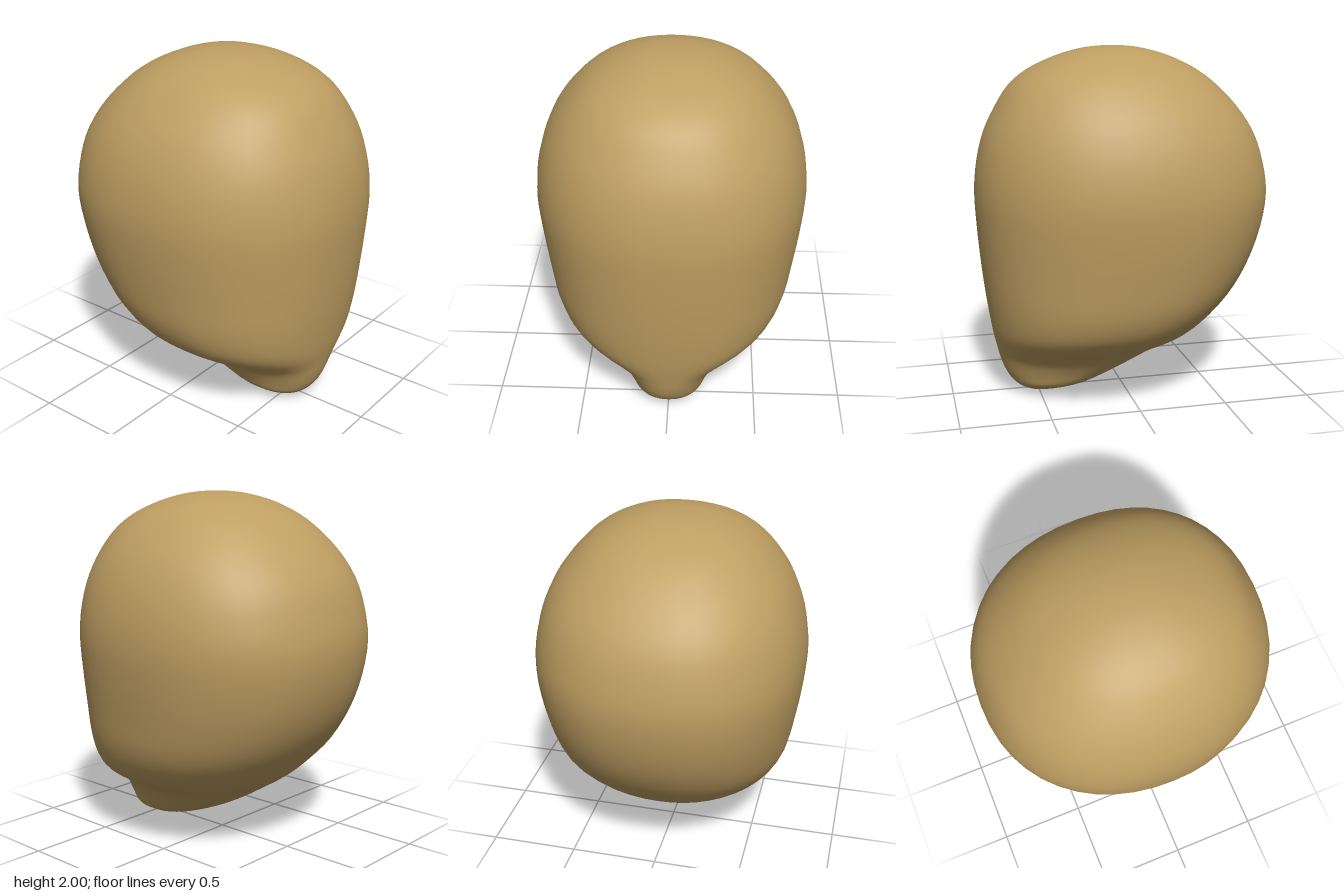
import * as THREE from 'three';

// Horizontal sections: [height, half width, front z, back z]
const SECTIONS = [
  [0, 0, 0.47, 0.47],
  [0.012, 0.075, 0.55, 0.38],
  [0.03, 0.13, 0.60, 0.29],
  [0.07, 0.20, 0.65, 0.16],
  [0.13, 0.235, 0.69, 0.01],
  [0.20, 0.28, 0.717, -0.13],
  [0.25, 0.33, 0.73, -0.215],
  [0.30, 0.41, 0.742, -0.295],
  [0.37, 0.53, 0.758, -0.40],
  [0.46, 0.62, 0.773, -0.50],
  [0.60, 0.683, 0.793, -0.63],
  [0.78, 0.718, 0.813, -0.74],
  [0.98, 0.748, 0.829, -0.81],
  [1.18, 0.765, 0.837, -0.837],
  [1.36, 0.748, 0.818, -0.81],
  [1.52, 0.703, 0.777, -0.755],
  [1.66, 0.635, 0.71, -0.66],
  [1.78, 0.54, 0.632, -0.545],
  [1.87, 0.44, 0.52, -0.425],
  [1.94, 0.31, 0.37, -0.28],
  [1.98, 0.185, 0.235, -0.145],
  [1.995, 0.09, 0.135, -0.05],
  [2, 0, 0.045, 0.045],
];
const AROUND = 48;
const RINGS = 66;
const ROUNDNESS = 0.9; // below 1 squares the sections slightly

const soften = (v) => Math.sign(v) * Math.abs(v) ** ROUNDNESS;

function createHeadGeometry() {
  const spline = (toPoint) => new THREE.CatmullRomCurve3(SECTIONS.map(toPoint), false, 'catmullrom', 0.5);
  const frontCurve = spline(([y, w, f]) => new THREE.Vector3(w, y, f));
  const backCurve = spline(([y, w, , b]) => new THREE.Vector3(w, y, b));

  const positions = [];
  for (let i = 0; i <= RINGS; i++) {
    const front = frontCurve.getPoint(i / RINGS);
    const back = backCurve.getPoint(i / RINGS);
    const middle = (front.z + back.z) / 2;
    const depth = (front.z - back.z) / 2;
    for (let j = 0; j < AROUND; j++) {
      const a = (j / AROUND) * Math.PI * 2;
      positions.push(front.x * soften(Math.sin(a)), front.y, middle + depth * soften(Math.cos(a)));
    }
  }

  // Each pole shares one vertex so its normal stays smooth
  const at = (i, j) => i * AROUND + (i === 0 || i === RINGS ? 0 : j % AROUND);
  const index = [];
  for (let i = 0; i < RINGS; i++) {
    for (let j = 0; j < AROUND; j++) {
      const a = at(i, j), b = at(i, j + 1), c = at(i + 1, j + 1), d = at(i + 1, j);
      if (i > 0) index.push(a, b, c);
      if (i < RINGS - 1) index.push(a, c, d);
      else index.pop(), index.pop(), index.pop(), index.push(a, b, c);
    }
  }

  const geometry = new THREE.BufferGeometry();
  geometry.setAttribute('position', new THREE.Float32BufferAttribute(positions, 3));
  geometry.setIndex(index);
  geometry.computeVertexNormals();
  return geometry;
}

export function createModel() {
  const group = new THREE.Group();
  group.name = 'headModel';

  // Rounded skull narrowing through the jaw to a chin keel
  const head = new THREE.Mesh(
    createHeadGeometry(),
    new THREE.MeshStandardMaterial({ color: 0xbf9f62 }),
  );
  head.name = 'head';
  group.add(head);
  return group;
}
